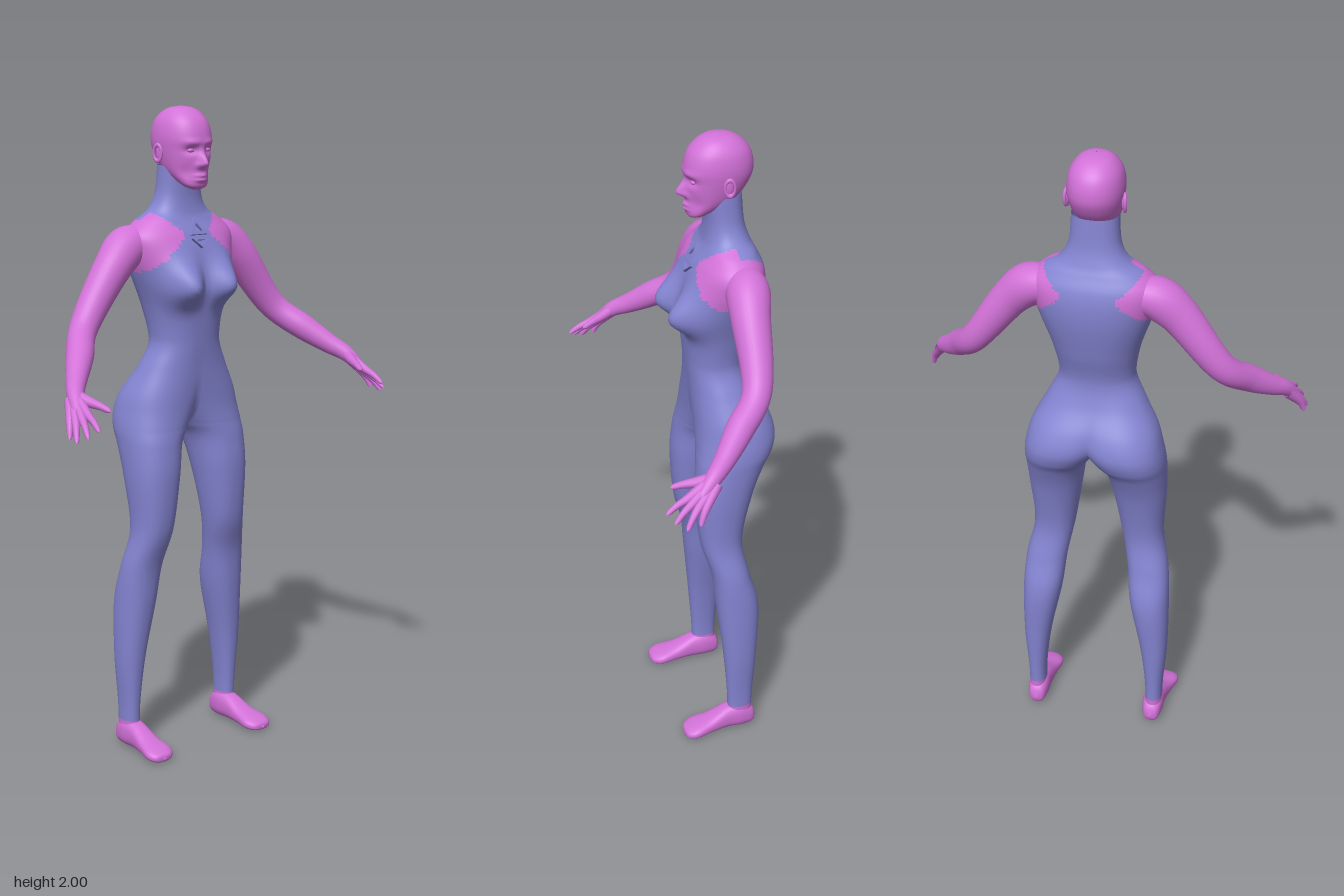
import * as THREE from 'three';

const suit = new THREE.MeshStandardMaterial({ color: 0x8484d2, side: THREE.DoubleSide });
const skin = new THREE.MeshStandardMaterial({ color: 0xd272d8, side: THREE.DoubleSide });
const bell = (d, s) => Math.exp(-(d * d) / (s * s));

// Catmull-Rom blend through rows of numbers, t from 0 to 1
function sample(rows, t) {
  const n = rows.length - 1, i = Math.min(Math.floor(t * n), n - 1), f = t * n - i;
  const [a, b, c, d] = [i - 1, i, i + 1, i + 2].map(k => rows[Math.max(0, Math.min(n, k))]);
  return b.map((_, k) => b[k] + 0.5 * f * (c[k] - a[k] + f * (2 * a[k] - 5 * b[k] + 4 * c[k] - d[k]
    + f * (3 * (b[k] - c[k]) + d[k] - a[k]))));
}

// Left half of a body: rounded rings [height, centreX, halfWidth, front, back].
// A ring that reaches x = 0 is cut open there, so it meets its mirrored twin.
function halfLoft(rows, { cols = 40, steps = 8, power = 0.88, deform } = {}) {
  const rings = (rows.length - 1) * steps, pos = [], idx = [], open = [];
  const pow = v => Math.sign(v) * Math.abs(v) ** power;
  for (let i = 0; i <= rings; i++) {
    let [y, cx, w, front, back] = sample(rows, i / rings);
    cx = Math.max(0, cx);
    w = Math.max(0.001, w);
    open.push(cx < w);
    const T = cx < w ? Math.acos(-((cx / w) ** (1 / power))) : Math.PI;
    for (let j = 0; j <= cols; j++) {
      const t = T * (2 * j / cols - 1);
      const v = new THREE.Vector3(cx + w * pow(Math.cos(t)), y, (front + back) / 2 + (front - back) / 2 * pow(Math.sin(t)));
      if (deform) deform(v, Math.max(0, Math.sin(t)));
      pos.push(v.x, v.y, v.z);
      if (i < rings && j < cols) {
        const a = i * (cols + 1) + j, c = a + cols + 1;
        idx.push(a, c, a + 1, a + 1, c, c + 1);
      }
    }
  }
  const geo = new THREE.BufferGeometry();
  geo.setAttribute('position', new THREE.Float32BufferAttribute(pos, 3));
  geo.setIndex(idx);
  geo.computeVertexNormals();
  // Smooth the shading across the join
  const nor = geo.attributes.normal, p = new THREE.Vector3(), q = new THREE.Vector3();
  open.forEach((isOpen, i) => {
    const a = i * (cols + 1), b = a + cols;
    p.fromBufferAttribute(nor, a);
    q.fromBufferAttribute(nor, b);
    if (isOpen) { p.x = q.x = 0; } else { p.add(q); q.copy(p); }
    p.normalize();
    q.normalize();
    nor.setXYZ(a, p.x, p.y, p.z);
    nor.setXYZ(b, q.x, q.y, q.z);
  });
  return geo;
}

// Round limb through points [x, y, z, radius] with a rounded far end
function limb(points, segments, sides, tip) {
  const curve = new THREE.CatmullRomCurve3(points.map(p => new THREE.Vector3(p[0], p[1], p[2])));
  const geo = new THREE.TubeGeometry(curve, segments, 1, sides), pos = geo.attributes.position;
  const v = new THREE.Vector3();
  for (let i = 0; i <= segments; i++) {
    const u = i / segments, c = curve.getPointAt(u);
    const r = sample(points, curve.getUtoTmapping(u))[3] * Math.sqrt(Math.min(1, (1 - u) * tip));
    for (let j = 0; j <= sides; j++) {
      const k = i * (sides + 1) + j;
      v.fromBufferAttribute(pos, k).sub(c).multiplyScalar(r).add(c);
      pos.setXYZ(k, v.x, v.y, v.z);
    }
  }
  return geo;
}

// Divide a geometry in two by testing each quad's centre
function split(geo, test) {
  const parts = [[], []], pos = geo.attributes.position, idx = geo.index.array;
  for (let i = 0; i < idx.length; i += 6) {
    const c = new THREE.Vector3(), v = new THREE.Vector3();
    for (let k = 0; k < 6; k++) c.add(v.fromBufferAttribute(pos, idx[i + k]));
    parts[test(c.divideScalar(6)) ? 1 : 0].push(...idx.slice(i, i + 6));
  }
  return parts.map(list => geo.clone().setIndex(list));
}

function mirrored(geo) {
  const g = geo.clone().scale(-1, 1, 1), a = g.index.array;
  for (let i = 0; i < a.length; i += 3) [a[i], a[i + 1]] = [a[i + 1], a[i]];
  return g;
}

// Ankle to neck
const bodyRows = [
  [0.03, 0.196, 0.028, -0.076, -0.154], [0.14, 0.197, 0.028, -0.073, -0.156], [0.3, 0.193, 0.043, -0.06, -0.167],
  [0.48, 0.175, 0.061, -0.041, -0.175], [0.6, 0.164, 0.064, -0.028, -0.146], [0.72, 0.142, 0.064, 0.004, -0.128],
  [0.88, 0.133, 0.081, 0.016, -0.16], [0.98, 0.124, 0.092, 0.01, -0.198], [1.03, 0.107, 0.108, 0.004, -0.228],
  [1.08, 0.085, 0.122, 0, -0.24], [1.14, 0.058, 0.132, 0, -0.224], [1.22, 0.02, 0.127, 0.003, -0.18],
  [1.3, 0, 0.114, 0.01, -0.164], [1.4, 0, 0.13, 0.018, -0.19], [1.5, 0, 0.163, 0.018, -0.212],
  [1.57, 0, 0.184, 0.008, -0.217], [1.62, 0, 0.187, -0.01, -0.209], [1.66, 0, 0.15, -0.034, -0.19],
  [1.69, 0, 0.101, -0.045, -0.176], [1.74, 0, 0.075, -0.05, -0.162], [1.825, 0, 0.068, -0.045, -0.155],
];
const headRows = [
  [1.755, 0, 0.012, -0.006, -0.03], [1.765, 0, 0.036, 0.005, -0.05], [1.785, 0, 0.052, 0.008, -0.088],
  [1.82, 0, 0.067, 0.008, -0.148], [1.87, 0, 0.078, 0.01, -0.183], [1.91, 0, 0.081, 0.012, -0.19],
  [1.95, 0, 0.074, 0, -0.18], [1.978, 0, 0.057, -0.024, -0.156], [1.994, 0, 0.034, -0.052, -0.126],
  [2.0, 0, 0.001, -0.086, -0.09],
];
// Foot rings run heel to toe: [z, centreX, halfWidth, -sole, -instep]
const footRows = [
  [-0.168, 0.195, 0.003, -0.03, -0.036], [-0.157, 0.195, 0.024, -0.007, -0.068], [-0.12, 0.195, 0.033, -0.002, -0.093],
  [-0.07, 0.195, 0.033, -0.004, -0.085], [-0.01, 0.198, 0.039, -0.004, -0.057], [0.04, 0.201, 0.047, -0.002, -0.043],
  [0.07, 0.203, 0.032, -0.004, -0.03], [0.077, 0.203, 0.003, -0.012, -0.018],
];
const armPoints = [
  [0.12, 1.595, -0.125, 0.05], [0.185, 1.586, -0.12, 0.064], [0.24, 1.54, -0.11, 0.058], [0.376, 1.36, -0.085, 0.043],
  [0.44, 1.295, -0.015, 0.041], [0.5, 1.24, 0.05, 0.031], [0.532, 1.212, 0.09, 0.025], [0.562, 1.16, 0.145, 0.015],
];
// Knuckle and tip of index, middle, ring and little finger
const fingers = [
  [[0.546, 1.167, 0.17], [0.555, 1.13, 0.235]], [[0.561, 1.156, 0.163], [0.58, 1.11, 0.217]],
  [[0.573, 1.147, 0.148], [0.598, 1.095, 0.187]], [[0.578, 1.146, 0.127], [0.594, 1.1, 0.147]],
];

function bust(v, facing) {
  const up = bell(v.y - 1.465, v.y < 1.465 ? 0.05 : 0.075);
  v.z += 0.072 * bell(v.x - 0.075, 0.055) * up * Math.min(1, facing * 2);
}

function face(v, facing) {
  const f = Math.min(1, facing * 1.5), { x, y } = v;
  const nose = 0.029 * bell(x, 0.012 + Math.max(0, 1.84 - y) * 0.3) * bell(y - 1.832, y < 1.832 ? 0.011 : 0.03);
  const socket = -0.01 * bell(x - 0.033, 0.018) * bell(y - 1.872, 0.012);
  const brow = 0.005 * bell(x - 0.03, 0.03) * bell(y - 1.895, 0.01);
  const lips = 0.008 * bell(x, 0.02) * (bell(y - 1.797, 0.006) + bell(y - 1.784, 0.006));
  const cheek = -0.007 * bell(x - 0.045, 0.02) * bell(y - 1.805, 0.025);
  v.z += f * (nose + socket + brow + lips + cheek);
}

// Bare shoulders outside the halter neckline, and bare ankles
function isBare({ x, y, z }) {
  if (y < 0.09) return true;
  const [inner, turn, slope] = z > -0.11 ? [0.045, 1.625, 1.1] : [0.075, 1.6, 1.15];
  return y > 1.5 && y < 1.7 && x > inner + (y > turn ? (y - turn) * 1.05 : (turn - y) * slope);
}

export function createModel() {
  const model = new THREE.Group();
  const add = (name, geo, mat) => {
    const m = new THREE.Mesh(geo, mat);
    m.name = name;
    model.add(m);
    return m;
  };
  const pair = (name, geo, mat) => {
    add('left' + name, geo, mat);
    add('right' + name, mirrored(geo), mat);
  };

  const [suitGeo, bareGeo] = split(halfLoft(bodyRows, { deform: bust }), isBare);
  pair('BodySuit', suitGeo, suit);
  pair('ShoulderAndAnkle', bareGeo, skin);
  pair('Head', halfLoft(headRows, { cols: 64, steps: 10, power: 0.92, deform: face }), skin);
  pair('Foot', halfLoft(footRows, { power: 0.8 }).rotateX(Math.PI / 2), skin);

  // Eyes and ears
  pair('Eye', new THREE.SphereGeometry(0.009, 16, 12).scale(1.3, 0.7, 0.8).translate(0.031, 1.872, -0.005), skin);
  pair('EarRim', new THREE.TorusGeometry(0.017, 0.005, 8, 24).scale(0.85, 1.4, 1)
    .rotateY(Math.PI / 2 - 0.25).translate(0.083, 1.862, -0.098), skin);
  pair('EarBowl', new THREE.SphereGeometry(0.017, 16, 12).scale(0.3, 1.4, 0.85).translate(0.079, 1.862, -0.096), skin);

  // Arms and hands; the finger roots overlap to form the palm
  pair('Arm', limb(armPoints, 70, 28, 25), skin);
  fingers.forEach(([k, t], i) => {
    const mid = k.map((v, n) => (v + t[n]) / 2 + (n === 1 ? 0.004 : 0));
    const root = [0.534 + i * 0.004, 1.207 - i * 0.003, 0.1 - i * 0.005, 0.017];
    pair('Finger' + (i + 1), limb([root, [...k, 0.0125], [...mid, 0.0095], [...t, 0.007]], 24, 12, 14), skin);
  });
  pair('Thumb', limb([[0.53, 1.208, 0.1, 0.018], [0.515, 1.195, 0.14, 0.015], [0.503, 1.187, 0.172, 0.011],
    [0.492, 1.176, 0.203, 0.008]], 24, 12, 14), skin);

  // Keyhole clasp on the chest: an open triangle above a small inverted one
  const triangle = (Kind, w, y0, y1) => {
    const s = new Kind();
    s.moveTo(-w, y0).lineTo(w, y0).lineTo(0, y1).closePath();
    return s;
  };
  [['claspTop', 0.032, 0, 0.055], ['claspBottom', 0.03, -0.012, -0.042]].forEach(([name, w, y0, y1]) => {
    const shape = triangle(THREE.Shape, w, y0, y1);
    shape.holes.push(triangle(THREE.Path, w * 0.5, y0 + (y1 - y0) * 0.18, y0 + (y1 - y0) * 0.68));
    const clasp = add(name, new THREE.ExtrudeGeometry(shape, { depth: 0.012, bevelEnabled: false }), suit);
    clasp.position.set(0, 1.617, -0.013);
    clasp.rotation.x = -0.45;
  });
  return model;
}
